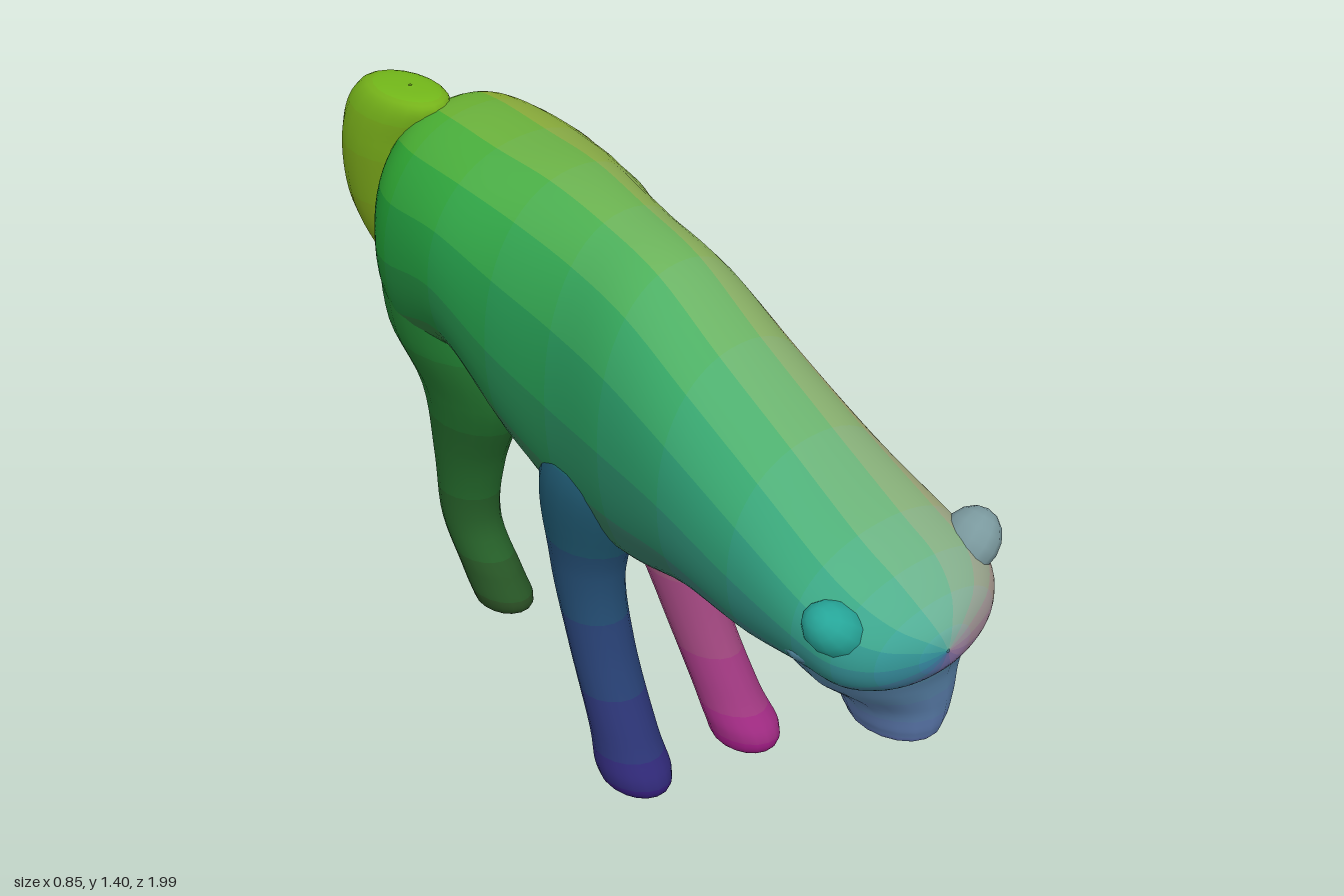
import * as THREE from 'three';
import { ParametricGeometry } from 'three/addons/geometries/ParametricGeometry.js';

// Smooth interpolation through rows of numbers, t in 0..1
function sample(rows, t) {
  const n = rows.length - 1;
  const f = THREE.MathUtils.clamp(t, 0, 1) * n;
  const i = Math.min(Math.floor(f), n - 1), s = f - i;
  const a = rows[Math.max(i - 1, 0)], b = rows[i], c = rows[i + 1], d = rows[Math.min(i + 2, n)];
  return b.map((p, k) => p + 0.5 * s * (c[k] - a[k] + s * (2 * a[k] - 5 * p + 4 * c[k] - d[k]
    + s * (3 * (p - c[k]) + d[k] - a[k]))));
}

// Trunk sections from rump to nose: z, centre x, centre y, half width, half height
const TRUNK = [
  [-0.81, -0.03, 1.09, 0.004, 0.004], [-0.78, -0.03, 1.09, 0.17, 0.20],
  [-0.71, -0.04, 1.09, 0.245, 0.28], [-0.60, -0.06, 1.09, 0.285, 0.305],
  [-0.40, -0.09, 1.12, 0.29, 0.28], [-0.20, -0.11, 1.04, 0.275, 0.36],
  [0.00, -0.14, 0.98, 0.245, 0.40], [0.20, -0.165, 0.96, 0.245, 0.38],
  [0.40, -0.175, 0.92, 0.245, 0.305], [0.60, -0.155, 0.83, 0.25, 0.245],
  [0.78, -0.13, 0.765, 0.262, 0.165], [0.88, -0.125, 0.735, 0.25, 0.135],
  [0.95, -0.13, 0.72, 0.185, 0.095], [0.99, -0.14, 0.715, 0.08, 0.05],
  [1.00, -0.14, 0.715, 0.004, 0.004],
];

// Point on the trunk, with a ragged hollow in the left flank
function trunkPoint(angle, v, target) {
  const [z, cx, cy, rx, ry] = sample(TRUNK, v);
  const c = Math.cos(angle), s = Math.sin(angle);
  const flank = Math.max(0, c) ** 2 * Math.exp(-(((z + 0.17) / 0.2) ** 2));
  const rough = flank * (-0.035 + 0.018 * Math.sin(z * 31 + s * 9) * Math.cos(s * 13 - z * 17));
  target.set(cx + (rx + rough) * Math.sign(c) * Math.abs(c) ** 0.92,
    cy + ry * Math.sign(s) * Math.abs(s) ** 0.92, z);
}

const paint = (r, g, b) => new THREE.MeshStandardMaterial({
  color: new THREE.Color().setRGB(r, g, b, THREE.SRGBColorSpace), side: THREE.DoubleSide,
});

function add(parent, name, geometry, material) {
  const mesh = new THREE.Mesh(geometry, material);
  mesh.name = name;
  parent.add(mesh);
  return mesh;
}

// Trunk and head as colour patches of one continuous surface
function buildTrunk() {
  const group = new THREE.Group();
  group.name = 'trunk';
  const along = 14, around = 14;
  for (let i = 0; i < along; i++) {
    for (let j = 0; j < around; j++) {
      const geometry = new ParametricGeometry((u, v, p) =>
        trunkPoint((j + u) / around * Math.PI * 2, (i + v) / along, p), 4, 5);
      const mid = (j + 0.5) / around * Math.PI * 2, v = (i + 0.5) / along;
      const side = Math.cos(mid) * (1.1 - 0.4 * v);
      const material = paint(0.42 + 0.3 * side, 0.56 + 0.14 * Math.sin(mid), 0.1 + 0.55 * v);
      add(group, i < 9 ? 'bodyPatch' : 'headPatch', geometry, material);
    }
  }
  return group;
}

// Limb from horizontal sections, top to bottom: y, x, z, half width, half depth
function buildLimb(name, rows, top, bottom, bands = 8) {
  const group = new THREE.Group();
  group.name = name;
  for (let i = 0; i < bands; i++) {
    const geometry = new ParametricGeometry((u, v, p) => {
      const [y, x, z, rx, rz] = sample(rows, (i + v) / bands);
      const a = u * Math.PI * 2;
      p.set(x + rx * Math.cos(a), y, z + rz * Math.sin(a));
    }, 18, 6);
    const k = i / (bands - 1);
    const rgb = top.map((t, n) => t + (bottom[n] - t) * k);
    add(group, name + 'Band', geometry, paint(...rgb));
  }
  return group;
}

export function createModel() {
  const model = new THREE.Group();
  model.name = 'dog';
  model.add(buildTrunk());

  // Legs
  model.add(buildLimb('leftHindLeg', [
    [1.27, 0.10, -0.60, 0.004, 0.004], [1.20, 0.12, -0.60, 0.10, 0.13], [1.00, 0.13, -0.61, 0.135, 0.17],
    [0.80, 0.165, -0.62, 0.11, 0.145], [0.60, 0.185, -0.615, 0.1, 0.11], [0.40, 0.255, -0.60, 0.092, 0.085],
    [0.25, 0.32, -0.56, 0.088, 0.08], [0.16, 0.345, -0.49, 0.083, 0.105],
    [0.11, 0.35, -0.48, 0.06, 0.08], [0.09, 0.35, -0.48, 0.004, 0.004],
  ], [0.72, 0.52, 0.2], [0.75, 0.17, 0.2]));
  model.add(buildLimb('rightHindLeg', [
    [1.20, -0.19, -0.58, 0.004, 0.004], [1.10, -0.19, -0.58, 0.12, 0.15], [0.90, -0.19, -0.555, 0.13, 0.18],
    [0.72, -0.17, -0.51, 0.10, 0.15], [0.50, -0.145, -0.56, 0.078, 0.10], [0.32, -0.14, -0.57, 0.068, 0.08],
    [0.20, -0.14, -0.50, 0.065, 0.09], [0.14, -0.14, -0.46, 0.065, 0.09],
    [0.11, -0.14, -0.46, 0.05, 0.07], [0.10, -0.14, -0.46, 0.004, 0.004],
  ], [0.12, 0.52, 0.2], [0.16, 0.25, 0.12]));
  model.add(buildLimb('leftForeleg', [
    [0.95, -0.06, 0.05, 0.004, 0.004], [0.82, -0.06, 0.05, 0.12, 0.16], [0.60, -0.07, 0.06, 0.085, 0.125],
    [0.40, -0.075, 0.15, 0.07, 0.095], [0.22, -0.075, 0.26, 0.07, 0.09], [0.14, -0.075, 0.32, 0.075, 0.10],
    [0.09, -0.075, 0.33, 0.06, 0.08], [0.08, -0.075, 0.33, 0.004, 0.004],
  ], [0.6, 0.42, 0.45], [0.62, 0.06, 0.52]));
  model.add(buildLimb('rightForeleg', [
    [0.95, -0.27, 0.08, 0.004, 0.004], [0.80, -0.28, 0.06, 0.11, 0.15], [0.55, -0.29, 0.03, 0.08, 0.10],
    [0.35, -0.295, 0.075, 0.075, 0.08], [0.15, -0.305, 0.16, 0.075, 0.085], [0.06, -0.31, 0.20, 0.08, 0.10],
    [0.015, -0.31, 0.21, 0.06, 0.08], [0.00, -0.31, 0.21, 0.004, 0.004],
  ], [0.1, 0.38, 0.42], [0.22, 0.07, 0.48]));

  // Tail folded down over the rump
  model.add(buildLimb('tail', [
    [1.405, -0.11, -0.77, 0.004, 0.004], [1.385, -0.11, -0.79, 0.08, 0.13], [1.27, -0.11, -0.84, 0.105, 0.145],
    [1.10, -0.10, -0.86, 0.105, 0.125], [0.97, -0.07, -0.83, 0.10, 0.11],
    [0.85, -0.02, -0.81, 0.08, 0.08], [0.80, -0.01, -0.82, 0.004, 0.004],
  ], [0.45, 0.72, 0.1], [0.5, 0.55, 0.1]));
  const tuft = add(model, 'tailTuft', new THREE.SphereGeometry(1, 12, 8), paint(0.5, 0.55, 0.1));
  tuft.scale.set(0.04, 0.09, 0.11);
  tuft.position.set(0.045, 0.87, -0.86);

  // Face tapering down to the muzzle
  model.add(buildLimb('muzzle', [
    [0.80, -0.13, 0.78, 0.004, 0.004], [0.73, -0.13, 0.78, 0.245, 0.19], [0.66, -0.12, 0.78, 0.225, 0.19],
    [0.59, -0.11, 0.78, 0.185, 0.17], [0.51, -0.085, 0.795, 0.125, 0.145], [0.44, -0.085, 0.805, 0.095, 0.125],
    [0.41, -0.09, 0.805, 0.07, 0.10], [0.40, -0.09, 0.805, 0.004, 0.004],
  ], [0.32, 0.56, 0.62], [0.36, 0.42, 0.68]));

  // Ears
  for (const [name, x, y, tilt, rgb] of [
    ['leftEar', 0.085, 0.82, -0.8, [0.48, 0.6, 0.62]], ['rightEar', -0.335, 0.79, 0.8, [0.15, 0.65, 0.6]]]) {
    const ear = add(model, name, new THREE.SphereGeometry(1, 12, 8), paint(...rgb));
    ear.scale.set(0.06, 0.08, 0.07);
    ear.rotation.z = tilt;
    ear.position.set(x, y, 0.85);
  }
  return model;
}
